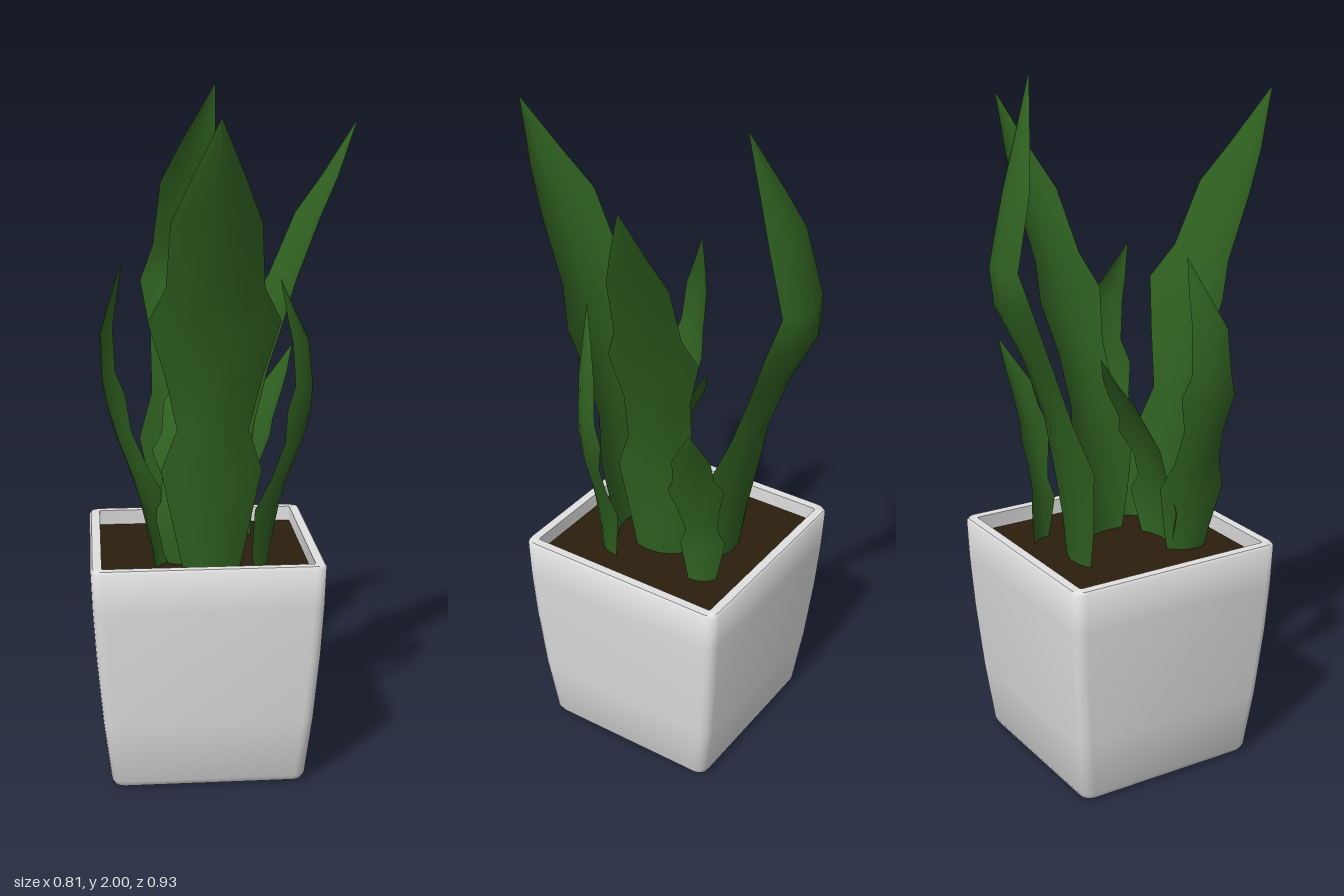
import * as THREE from 'three';
import { toCreasedNormals } from 'three/addons/utils/BufferGeometryUtils.js';

const POT_X = -0.072, POT_Z = -0.07, LEAF_BASE = 0.6;

// Joins equal-length rings of points into a surface
function loft(rings, closed) {
  const n = rings[0].length, idx = [];
  for (let i = 0; i < rings.length - 1; i++) {
    for (let j = 0; j < (closed ? n : n - 1); j++) {
      const a = i * n + j, b = i * n + (j + 1) % n;
      idx.push(a, a + n, b, b, a + n, b + n);
    }
  }
  const g = new THREE.BufferGeometry();
  g.setAttribute('position', new THREE.Float32BufferAttribute(rings.flat(2), 3));
  g.setIndex(idx);
  g.computeVertexNormals();
  return g;
}

// Horizontal square ring with rounded corners
function squareRing(y, half, r) {
  const ring = [], steps = 4, s = half - r;
  for (let c = 0; c < 4; c++) {
    const q = (c + 0.5) * Math.PI / 2;
    for (let k = 0; k <= steps; k++) {
      const t = (c + k / steps) * Math.PI / 2;
      ring.push([
        Math.sign(Math.cos(q)) * s + Math.cos(t) * r,
        y,
        Math.sign(Math.sin(q)) * s + Math.sin(t) * r,
      ]);
    }
  }
  return ring;
}

// Outline shared by every leaf: [height fraction, relative width], flaring twice
const OUTLINE = [
  [0, 0.55], [0.1, 0.75], [0.23, 1], [0.33, 0.7], [0.45, 0.75],
  [0.56, 1], [0.64, 0.73], [0.78, 0.66], [0.87, 0.4], [1, 0],
];

// Cupped leaf following a spine whose [x, z] points are evenly spaced in height
function leafGeometry({ top, angle, low, high, spine }) {
  const a = THREE.MathUtils.degToRad(angle);
  const dx = Math.cos(a), dz = Math.sin(a);
  const curve = new THREE.SplineCurve(spine.map((p) => new THREE.Vector2(...p)));
  const rings = OUTLINE.map(([t, rel]) => {
    const c = curve.getPoint(t), w = rel * (t < 0.4 ? low : high);
    const y = THREE.MathUtils.lerp(LEAF_BASE, top, t);
    return [-1, -0.55, 0, 0.55, 1].map((u) => {
      const cup = 0.32 * w * u * u;
      // the sides rise a little so the flares point upward
      return [c.x + dx * w * u - dz * cup, y + 0.12 * w * u * u, c.y + dz * w * u + dx * cup];
    });
  });
  return loft(rings, false);
}

// angle: direction of the width; low and high: half widths of the two flares
const LEAVES = [
  { name: 'backTallLeaf', top: 2, angle: 5, low: 0.135, high: 0.13,
    spine: [[-0.1, -0.24], [-0.11, -0.275], [-0.11, -0.345], [-0.1, -0.465], [-0.08, -0.405], [-0.01, -0.3]] },
  { name: 'frontTallLeaf', top: 1.92, angle: 180, low: 0.145, high: 0.185,
    spine: [[-0.055, 0.11], [-0.055, 0.15], [-0.05, 0.21], [-0.055, 0.325], [-0.055, 0.465]] },
  { name: 'leftTallLeaf', top: 1.9, angle: 72, low: 0.135, high: 0.128,
    spine: [[0.03, -0.07], [0.055, -0.08], [0.135, -0.11], [0.255, -0.145], [0.4, -0.19]] },
  { name: 'middleShortLeaf', top: 1.21, angle: 180, low: 0.125, high: 0.11,
    spine: [[-0.1, 0.07], [-0.11, 0.07], [-0.11, 0.03], [-0.11, -0.045], [-0.1, -0.14]] },
  { name: 'rightCurvedLeaf', top: 1.52, angle: 290, low: 0.092, high: 0.075,
    spine: [[-0.21, 0.08], [-0.25, 0.08], [-0.33, 0.065], [-0.365, 0.055], [-0.3, 0.01]] },
  { name: 'leftCurvedLeaf', top: 1.47, angle: 122, low: 0.08, high: 0.08,
    spine: [[0.1, 0.08], [0.135, 0.08], [0.215, 0.07], [0.225, 0.065], [0.14, 0.1]] },
  { name: 'backShortLeaf', top: 1.22, angle: 60, low: 0.065, high: 0.08,
    spine: [[0.08, -0.25], [0.08, -0.25], [0.115, -0.25], [0.165, -0.26], [0.225, -0.29]] },
];

function makeMaterial(name, color, side = THREE.FrontSide) {
  const m = new THREE.MeshStandardMaterial({ color, side });
  m.name = name;
  return m;
}

function addMesh(parent, name, geometry, material) {
  const mesh = new THREE.Mesh(geometry, material);
  mesh.name = name;
  parent.add(mesh);
  return mesh;
}

export function createModel() {
  const model = new THREE.Group();
  model.name = 'pottedPlant';
  const potWhite = makeMaterial('potWhite', 0xe0e0e0);
  const soilBrown = makeMaterial('soilBrown', 0x2b1f0e);
  const leafGreen = makeMaterial('leafGreen', 0x2f6020, THREE.DoubleSide);

  // Pot: closed base, curved walls, rim and inner wall as [height, half width, corner radius]
  const pot = new THREE.Group();
  pot.name = 'pot';
  pot.position.set(POT_X, 0, POT_Z);
  model.add(pot);
  const profile = [
    [0, 0.001, 0.0005], [0, 0.262, 0.025], [0.006, 0.274, 0.03], [0.022, 0.283, 0.034],
    [0.2, 0.304, 0.034], [0.4, 0.321, 0.034], [0.55, 0.33, 0.034], [0.668, 0.334, 0.034],
    [0.676, 0.328, 0.03], [0.676, 0.302, 0.006], [0.6, 0.302, 0.006],
  ];
  const shell = loft(profile.map((p) => squareRing(...p)), true);
  addMesh(pot, 'potShell', toCreasedNormals(shell, 0.9), potWhite);

  // Soil
  const soil = addMesh(pot, 'soil', new THREE.PlaneGeometry(0.604, 0.604), soilBrown);
  soil.rotation.x = -Math.PI / 2;
  soil.position.y = 0.63;

  // Leaves
  const plant = new THREE.Group();
  plant.name = 'leaves';
  model.add(plant);
  for (const leaf of LEAVES) addMesh(plant, leaf.name, leafGeometry(leaf), leafGreen);

  return model;
}
